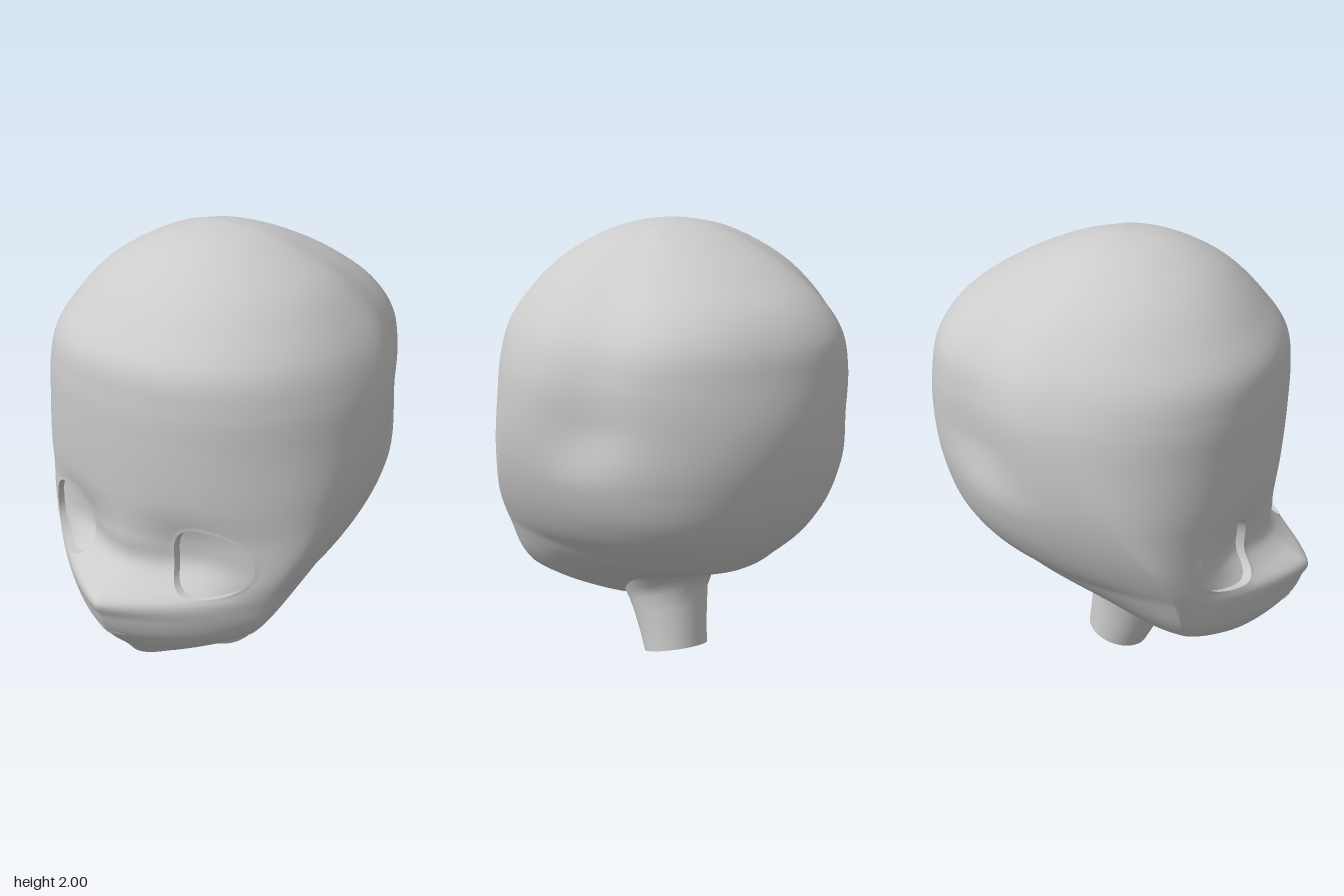
import * as THREE from 'three';

// Head cross-sections from chin to crown:
// height, half width, z of widest point, front z, back z, front roundness, back roundness
const SECTIONS = [
  [0.188, 0.005, 0.53, 0.54, 0.52, 2, 2],
  [0.20, 0.08, 0.51, 0.60, 0.36, 1.8, 2],
  [0.235, 0.18, 0.48, 0.635, 0.20, 1.7, 2],
  [0.28, 0.29, 0.46, 0.68, 0.10, 1.55, 1.9],
  [0.34, 0.41, 0.44, 0.745, 0.00, 1.4, 1.8],
  [0.41, 0.51, 0.43, 0.80, -0.12, 1.3, 1.7],
  [0.48, 0.56, 0.43, 0.83, -0.30, 1.25, 1.7],
  [0.57, 0.60, 0.42, 0.845, -0.53, 1.25, 1.8],
  [0.62, 0.62, 0.41, 0.755, -0.59, 1.4, 1.9],
  [0.67, 0.645, 0.39, 0.695, -0.64, 1.55, 2.05],
  [0.80, 0.70, 0.33, 0.68, -0.73, 1.6, 2.2],
  [1.00, 0.75, 0.18, 0.695, -0.81, 1.9, 2.1],
  [1.25, 0.762, 0.04, 0.71, -0.845, 2.08, 2],
  [1.42, 0.745, 0, 0.712, -0.825, 2.15, 2.1],
  [1.56, 0.70, 0, 0.695, -0.79, 2.15, 2.2],
  [1.70, 0.61, 0, 0.60, -0.69, 2.1, 2.15],
  [1.80, 0.52, 0, 0.51, -0.55, 2.05, 2.05],
  [1.90, 0.37, 0, 0.38, -0.36, 2, 2],
  [1.965, 0.22, 0, 0.23, -0.19, 2, 2],
  [1.992, 0.09, 0, 0.10, -0.08, 2, 2],
  [2.00, 0.001, 0, 0.001, -0.001, 2, 2],
];

// Distance along the side profile at each section
const KNOTS = [0];
for (let k = 1; k < SECTIONS.length; k++) {
  const [a, b] = [SECTIONS[k - 1], SECTIONS[k]];
  KNOTS.push(KNOTS[k - 1] + Math.hypot(b[0] - a[0], b[1] - a[1]));
}
const LAST = SECTIONS.length - 1, LENGTH = KNOTS[LAST];

// Smooth interpolation of the sections at distance t
function sectionAt(t) {
  let i = 0;
  while (i < LAST - 1 && KNOTS[i + 1] < t) i++;
  const step = (k) => KNOTS[k + 1] - KNOTS[k];
  const slope = (k, c) => (SECTIONS[k + 1][c] - SECTIONS[k][c]) / step(k);
  const tangent = (k, c) => {
    if (k === 0) return slope(0, c);
    if (k === LAST) return slope(LAST - 1, c);
    return (slope(k - 1, c) * step(k) + slope(k, c) * step(k - 1)) / (step(k) + step(k - 1));
  };
  const h = step(i), f = (t - KNOTS[i]) / h, f2 = f * f, f3 = f2 * f;
  return SECTIONS[i].map((p, c) => p * (2 * f3 - 3 * f2 + 1) + SECTIONS[i + 1][c] * (3 * f2 - 2 * f3)
    + h * (tangent(i, c) * (f3 - 2 * f2 + f) + tangent(i + 1, c) * (f3 - f2)));
}

// Shallow hollows around the eyes
const hollow = (x, y) =>
  -0.035 * Math.exp(-(((Math.abs(x) - 0.27) / 0.15) ** 2) - ((y - 0.75) / 0.15) ** 2);

// Flattening of the upper skull behind the temples; q runs 0..1 from widest point to back
const flatten = (q, y) =>
  1 - 0.085 * THREE.MathUtils.smoothstep(y, 0.95, 1.25) * Math.exp(-(((q - 0.56) / 0.21) ** 2));

// Depth of the face at x, y
function faceZ(x, y) {
  let lo = 0, hi = LENGTH;
  for (let k = 0; k < 30; k++) {
    const mid = (lo + hi) / 2;
    if (sectionAt(mid)[0] < y) lo = mid; else hi = mid;
  }
  const [, w, zw, zf, , n] = sectionAt(lo);
  const side = Math.min(1, Math.abs(x) / w);
  return zw + (zf - zw) * Math.pow(1 - Math.pow(side, n), 1 / n) + hollow(x, y);
}

const spow = (v, e) => Math.sign(v) * Math.pow(Math.abs(v), e);

// Closed-loop surface: point(i, angle) for rows i; skip leaves out faces touching a point
function loft(rows, cols, point, skip = () => false) {
  const pos = [], index = [], out = [];
  for (let i = 0; i <= rows; i++) {
    for (let j = 0; j < cols; j++) {
      const p = point(i, (j / cols) * Math.PI * 2);
      pos.push(...p);
      out.push(skip(...p));
    }
  }
  const face = (...v) => { if (!v.some((k) => out[k])) index.push(...v); };
  for (let i = 0; i < rows; i++) {
    for (let j = 0; j < cols; j++) {
      const a = i * cols + j, b = i * cols + ((j + 1) % cols);
      face(a, b, b + cols);
      face(a, b + cols, a + cols);
    }
  }
  const g = new THREE.BufferGeometry();
  g.setAttribute('position', new THREE.Float32BufferAttribute(pos, 3));
  g.setIndex(index);
  g.computeVertexNormals();
  return g;
}

// Egg-shaped eye outline, wider towards the nose
const EYE = { x: 0.388, y: 0.748, rx: 0.167, ry: 0.146, n: 2.3, taper: 0.18 };
function eyePoint(angle, scale) {
  const u = spow(Math.cos(angle), 2 / EYE.n);
  const v = spow(Math.sin(angle), 2 / EYE.n) * (1 - EYE.taper * u);
  return [EYE.x + EYE.rx * u * scale, EYE.y + EYE.ry * v * scale];
}
function insideEye(x, y, z) {
  const u = (Math.abs(x) - EYE.x) / EYE.rx;
  if (z < 0.3 || Math.abs(u) > 1) return false;
  const v = (y - EYE.y) / EYE.ry / (1 - EYE.taper * u);
  return Math.abs(u) ** EYE.n + Math.abs(v) ** EYE.n < 1;
}

export function createModel() {
  const grey = new THREE.MeshStandardMaterial({ name: 'plain grey', color: 0xcccccc, side: THREE.DoubleSide });
  const pale = new THREE.MeshStandardMaterial({ name: 'pale mouth', color: 0xe8e8e8, side: THREE.DoubleSide });
  const model = new THREE.Group();
  model.name = 'head';
  const add = (parent, name, geometry, material = grey) => {
    const mesh = new THREE.Mesh(geometry, material);
    mesh.name = name;
    parent.add(mesh);
  };

  // Skull and face in one skin, open at the eyes
  const rows = 170;
  add(model, 'skullAndFace', loft(rows, 200, (i, a) => {
    const [y, w, zw, zf, zb, nf, nb] = sectionAt((i / rows) * LENGTH);
    const c = Math.cos(a), front = c >= 0, e = 2 / (front ? nf : nb);
    const x = w * spow(Math.sin(a), e), q = spow(c, e);
    return front
      ? [x, y, zw + (zf - zw) * q + hollow(x, y)]
      : [x * flatten(-q, y), y, zw + (zw - zb) * q];
  }, insideEye));

  // Eye sockets: skin border, rim and recessed floor
  const depth = 0.035;
  for (const side of [1, -1]) {
    const socket = new THREE.Group();
    socket.name = side > 0 ? 'leftEyeSocket' : 'rightEyeSocket';
    socket.scale.x = side;
    const onFace = (a, scale, lift) => {
      const [x, y] = eyePoint(a, scale);
      return [x, y, faceZ(x, y) + lift];
    };
    add(socket, 'eyeBorder', loft(4, 64, (i, a) => onFace(a, 1.24 - 0.06 * i, -0.003 + 0.0012 * i)));
    add(socket, 'eyeRim', loft(1, 64, (i, a) => onFace(a, 1, i ? -depth : 0.0018)));
    add(socket, 'eyeFloor', loft(8, 64, (i, a) => onFace(a, 1 - i / 8, -depth)));
    model.add(socket);
  }

  // Mouth: a thin lens with a flatter upper edge
  add(model, 'mouth', loft(4, 48, (i, a) => {
    const s = 1 - i / 4, x = 0.08 * Math.cos(a) * s;
    const y = 0.393 + (Math.sin(a) > 0 ? 0.011 : 0.013) * Math.sin(a) * s;
    return [x, y, faceZ(x, y) + 0.005];
  }), pale);

  // Neck: tilted open tube flaring into the skull; front y, front z, back y, back z, half width
  const neck = [
    [0.005, 0.11, 0.085, -0.16, 0.145],
    [0.09, 0.155, 0.17, -0.15, 0.153],
    [0.18, 0.20, 0.27, -0.14, 0.168],
    [0.22, 0.23, 0.35, -0.132, 0.18],
    [0.25, 0.26, 0.41, -0.155, 0.195],
    [0.30, 0.30, 0.46, -0.22, 0.22],
    [0.36, 0.32, 0.51, -0.28, 0.24],
  ];
  add(model, 'neck', loft(neck.length - 1, 48, (i, a) => {
    const [fy, fz, by, bz, w] = neck[i], k = (1 + Math.cos(a)) / 2;
    return [w * Math.sin(a), by + (fy - by) * k, bz + (fz - bz) * k];
  }));

  return model;
}
